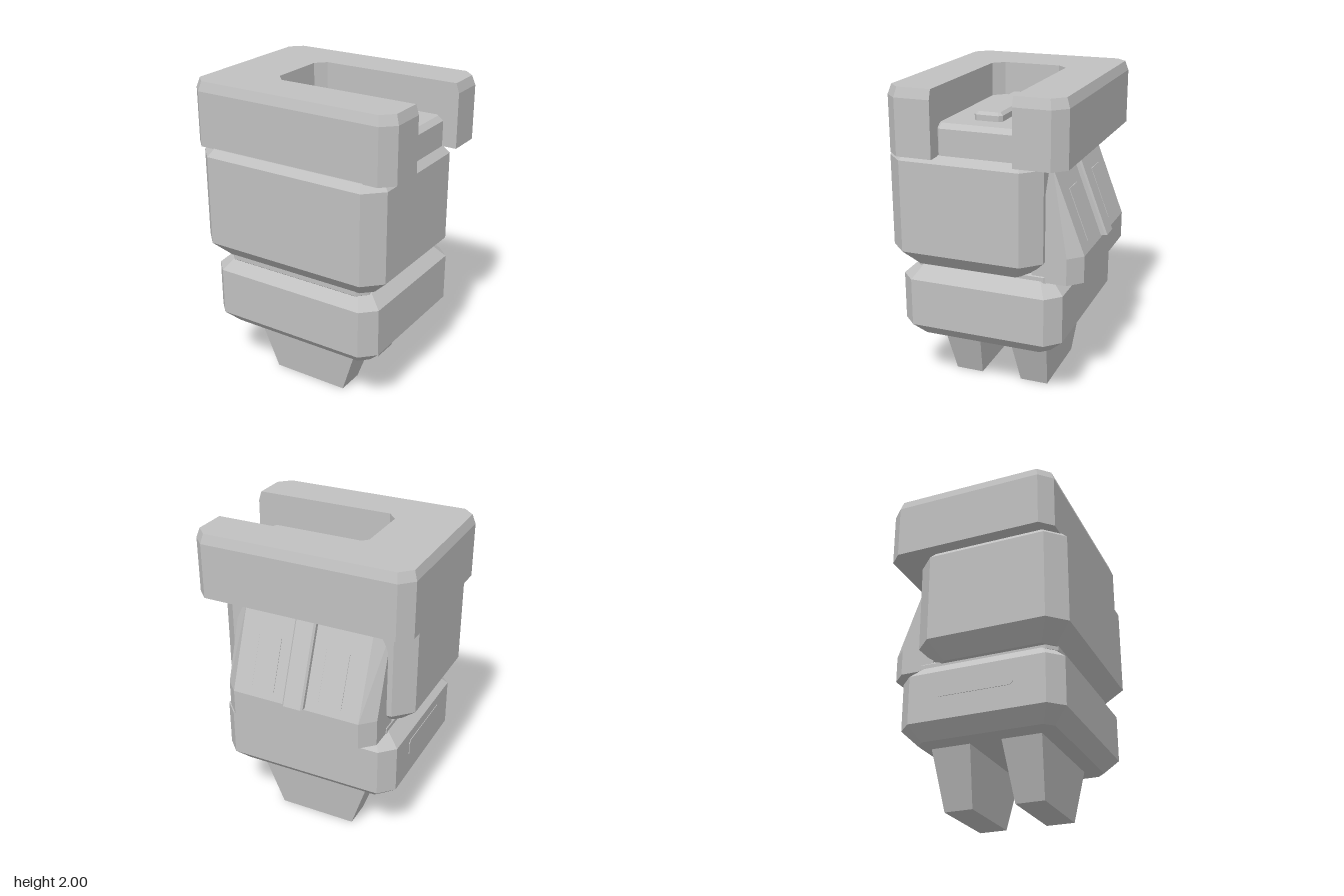
import * as THREE from 'three';

// Rectangle in plan with cut corners, counter-clockwise seen from above
function plan(x0, x1, z0, z1, c = 0) {
  if (c === 0) return [[x0, z1], [x1, z1], [x1, z0], [x0, z0]];
  return [
    [x0 + c, z1], [x1 - c, z1], [x1, z1 - c], [x1, z0 + c],
    [x1 - c, z0], [x0 + c, z0], [x0, z0 + c], [x0, z1 - c],
  ];
}

// Closed solid through horizontal sections [y, outline], listed from bottom to top
function loft(sections) {
  const pos = [];
  const put = (y, p) => pos.push(p[0], y, p[1]);
  for (let s = 0; s < sections.length - 1; s++) {
    const [y0, a] = sections[s];
    const [y1, b] = sections[s + 1];
    for (let i = 0; i < a.length; i++) {
      const j = (i + 1) % a.length;
      put(y0, a[i]); put(y0, a[j]); put(y1, b[j]);
      put(y0, a[i]); put(y1, b[j]); put(y1, b[i]);
    }
  }
  const cap = ([y, pts], up) => {
    const flat = pts.map(([x, z]) => new THREE.Vector2(x, -z));
    for (const [i, j, k] of THREE.ShapeUtils.triangulateShape(flat, [])) {
      for (const n of up ? [i, j, k] : [i, k, j]) put(y, pts[n]);
    }
  };
  cap(sections[0], false);
  cap(sections[sections.length - 1], true);
  const g = new THREE.BufferGeometry();
  g.setAttribute('position', new THREE.Float32BufferAttribute(pos, 3));
  g.computeVertexNormals();
  return g;
}

// Block with cut corners and sloped top and bottom edges
function block(x0, x1, z0, z1, c, y0, yLow, inLow, yHigh, y1, inHigh) {
  const at = (d) => plan(x0 + d, x1 - d, z0 + d, z1 - d, c - d * 0.4);
  return loft([[y0, at(inLow)], [yLow, at(0)], [yHigh, at(0)], [y1, at(inHigh)]]);
}

export function createModel() {
  const model = new THREE.Group();
  model.name = 'blockyFigure';
  const grey = new THREE.MeshStandardMaterial({ color: 0xc0c0c0 });
  grey.name = 'grey';
  const add = (name, geometry) => {
    const m = new THREE.Mesh(geometry, grey);
    m.name = name;
    model.add(m);
  };

  // Two tapered feet
  for (const [name, z] of [['frontFoot', 0.252], ['backFoot', -0.208]]) {
    add(name, loft([
      [0, plan(-0.26, 0.26, z - 0.0925, z + 0.0925)],
      [0.37, plan(-0.387, 0.387, z - 0.1285, z + 0.1285)],
    ]));
  }

  // Lower body, neck and upper body
  add('lowerBody', block(-0.605, 0.605, -0.48, 0.58, 0.09, 0.365, 0.455, 0.09, 0.765, 0.845, 0.085));
  add('neck', block(-0.52, 0.52, -0.42, 0.52, 0.06, 0.83, 0.835, 0.005, 0.87, 0.925, 0.05));
  add('upperBody', block(-0.66, 0.66, -0.365, 0.625, 0.112, 0.86, 0.97, 0.11, 1.55, 1.595, 0.04));

  // Thin panel on the side of the lower body
  const panel = new THREE.Shape();
  panel.moveTo(-0.24, -0.05);
  panel.lineTo(0.22, -0.05);
  panel.lineTo(0.24, -0.03);
  panel.lineTo(0.24, 0.05);
  panel.lineTo(-0.22, 0.05);
  panel.lineTo(-0.24, 0.03);
  const panelGeo = new THREE.ExtrudeGeometry(panel, { depth: 0.006, bevelEnabled: false });
  panelGeo.rotateY(-Math.PI / 2);
  panelGeo.translate(-0.603, 0.65, 0.05);
  add('sidePanel', panelGeo);

  // U-shaped head open towards +x
  const headPlan = (d) => {
    const c = 0.08 - d * 0.4;
    const x = 0.71 - d, zf = 0.578 - d, zb = -0.54 + d;
    return [
      [-x + c, zf], [x - c, zf], [x, zf - c], [x, 0.272],
      [-0.23, 0.272], [-0.292, 0.205], [-0.292, -0.168], [-0.23, -0.232],
      [x, -0.232], [x, zb + c], [x - c, zb], [-x + c, zb],
      [-x, zb + c], [-x, zf - c],
    ];
  };
  add('head', loft([[1.59, headPlan(0)], [1.94, headPlan(0)], [2, headPlan(0.02)]]));

  // Raised floor inside the head with a long bar on it
  add('headFloor', loft([
    [1.59, plan(-0.4, 0.62, -0.236, 0.276, 0.015)],
    [1.757, plan(-0.4, 0.62, -0.236, 0.276, 0.015)],
    [1.787, plan(-0.4, 0.588, -0.23, 0.27, 0.015)],
  ]));
  add('floorBar', block(-0.172, 0.466, -0.072, 0.106, 0.02, 1.78, 1.785, 0, 1.822, 1.84, 0.018));

  // Sloped backpack with cut side edges
  const packPlan = (zIn, zOut) => [
    [-0.515, -0.28], [0.515, -0.28], [0.515, zIn],
    [0.43, zOut], [-0.43, zOut], [-0.515, zIn],
  ];
  add('backpack', loft([
    [0.837, packPlan(-0.5, -0.585)],
    [1.008, packPlan(-0.5, -0.585)],
    [1.545, packPlan(-0.315, -0.377)],
  ]));

  // Centre ridge and thin plates following the slope of the backpack
  const slope = (y) => -0.585 + (y - 1.008) * 0.387;
  const strip = (y, x0, x1, out, c) => {
    const z = slope(y);
    return [y, [[x0, z + 0.02], [x1, z + 0.02], [x1, z - out + c], [x1 - c, z - out],
      [x0 + c, z - out], [x0, z - out + c]]];
  };
  add('backRidge', loft([1.02, 1.54].map((y) => strip(y, -0.07, 0.07, 0.04, 0.012))));
  for (const s of [-1, 1]) {
    const x = s * 0.23;
    add(s < 0 ? 'rightBackPlate' : 'leftBackPlate',
      loft([1.06, 1.38].map((y) => strip(y, x - 0.077, x + 0.077, 0.004, 0.001))));
  }

  return model;
}
